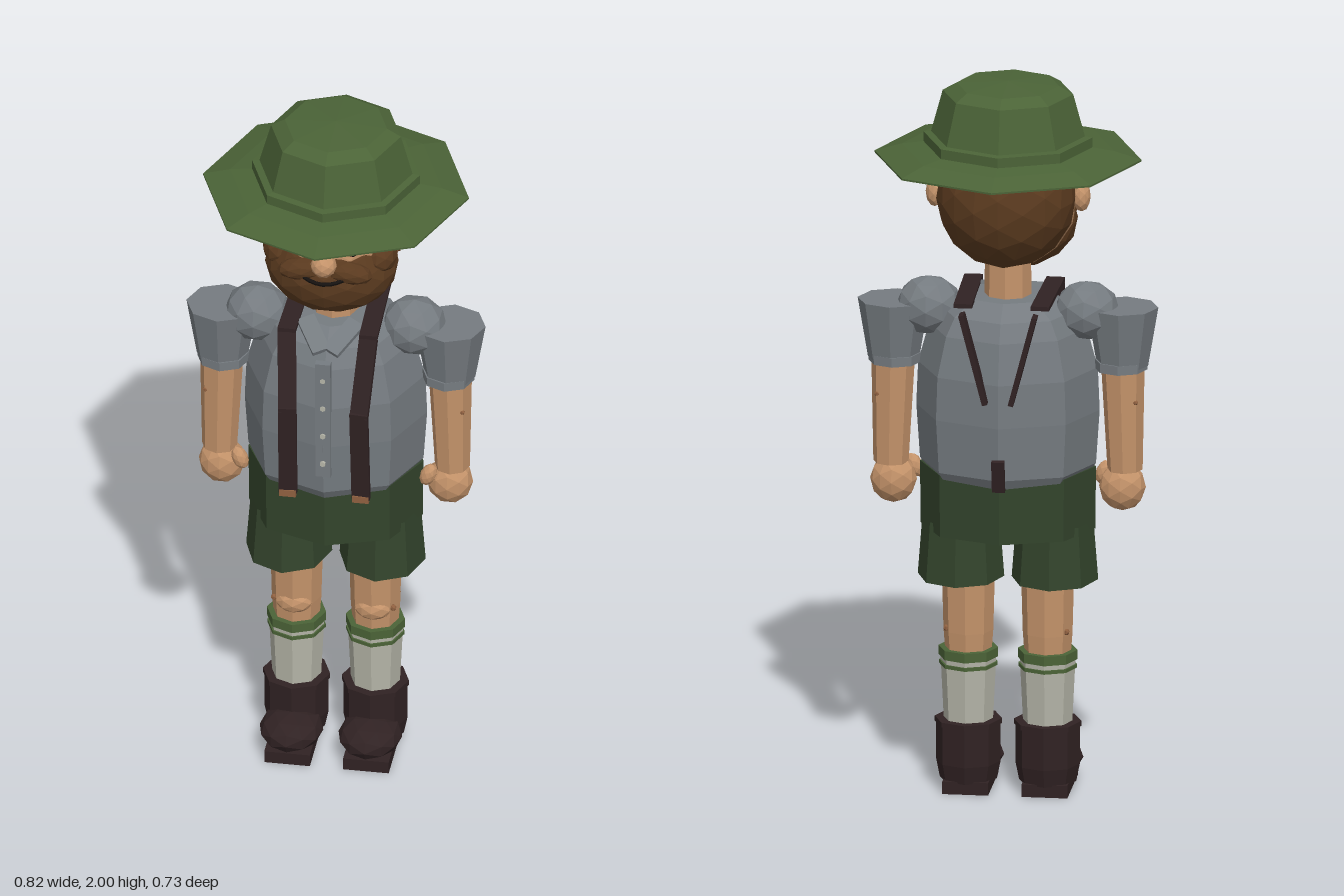
import * as THREE from 'three';

const paint = (name, color) => {
  const m = new THREE.MeshStandardMaterial({ color, flatShading: true });
  m.name = name;
  return m;
};

export function createModel() {
  const model = new THREE.Group();
  model.name = 'hiker';
  const hatGreen = paint('hat green', 0x4b6337);
  const darkGreen = paint('shorts green', 0x33442c);
  const grey = paint('shirt grey', 0x757b80);
  const skin = paint('skin', 0xc4936a);
  const tan = paint('dark skin', 0x8f6040);
  const brown = paint('hair brown', 0x5a3a1f);
  const leather = paint('dark leather', 0x302223);
  const wool = paint('sock wool', 0xb5b5a8);
  const black = paint('eye black', 0x15110f);
  const white = paint('white', 0xf2efe8);

  const add = (name, geo, mat, x = 0, y = 0, z = 0) => {
    const m = new THREE.Mesh(geo, mat);
    m.name = name;
    m.position.set(x, y, z);
    model.add(m);
    return m;
  };
  const box = (name, mat, w, h, d, x, y, z) => add(name, new THREE.BoxGeometry(w, h, d), mat, x, y, z);
  // Faceted ellipsoid
  const blob = (name, mat, x, y, z, rx, ry, rz, detail = 1) => {
    const m = add(name, new THREE.IcosahedronGeometry(1, detail), mat, x, y, z);
    m.scale.set(rx, ry, rz);
    return m;
  };
  // Eight-sided turned part from [radius, height] pairs, bottom to top
  const turned = (name, mat, pts, zScale = 1, x = 0, z = 0) => {
    const m = add(name, new THREE.LatheGeometry(pts.map(p => new THREE.Vector2(...p)), 8), mat, x, 0, z);
    m.scale.z = zScale;
    return m;
  };
  // Flat band running from a to b, with its width along x
  const strap = (name, mat, a, b, width, thick) => {
    const p = new THREE.Vector3(...a), q = new THREE.Vector3(...b);
    const m = add(name, new THREE.BoxGeometry(width, thick, p.distanceTo(q)), mat);
    m.position.copy(p).add(q).multiplyScalar(0.5);
    m.lookAt(q);
    return m;
  };

  // Hat
  turned('hatBrim', hatGreen, [[0, 1.8], [0.29, 1.795], [0.364, 1.785], [0.364, 1.79], [0.29, 1.812], [0.2, 1.825]]);
  turned('hatBand', hatGreen, [[0.23, 1.815], [0.23, 1.848], [0.2, 1.852]]);
  turned('hatCrown', hatGreen, [[0.213, 1.82], [0.21, 1.85], [0.178, 1.968], [0.14, 1.99], [0, 2]]);

  // Head and hair
  turned('neck', skin, [[0.065, 1.38], [0.062, 1.54]]);
  blob('head', skin, 0, 1.67, 0, 0.188, 0.19, 0.192, 2);
  blob('hair', brown, 0, 1.685, -0.04, 0.19, 0.195, 0.192, 2);
  blob('beard', brown, 0, 1.594, 0.07, 0.182, 0.137, 0.15, 2);
  blob('nose', skin, 0, 1.668, 0.207, 0.036, 0.036, 0.036);
  const smile = new THREE.QuadraticBezierCurve3(
    new THREE.Vector3(-0.07, 1.632, 0.2), new THREE.Vector3(0, 1.6, 0.25), new THREE.Vector3(0.07, 1.632, 0.2));
  add('mouth', new THREE.TubeGeometry(smile, 8, 0.006, 5), black);

  // Shirt
  turned('shirt', grey, [[0, 0.9], [0.22, 0.9], [0.24, 0.93], [0.25, 1.08], [0.245, 1.2],
    [0.215, 1.31], [0.185, 1.36], [0.12, 1.4], [0, 1.402]], 0.88);
  strap('placket', grey, [0, 0.985, 0.207], [0, 1.355, 0.216], 0.042, 0.02);
  for (let i = 0; i < 4; i++) {
    const b = add('button', new THREE.CylinderGeometry(0.008, 0.008, 0.008, 6), wool, 0, 1.03 + i * 0.09, 0.222);
    b.rotation.x = Math.PI / 2;
  }
  for (const s of [1, -1]) {
    const c = strap('collar', grey, [s * 0.012, 1.36, 0.17], [s * 0.07, 1.405, 0.08], 0.05, 0.014);
    c.rotation.z += s * 0.2;
  }

  // Shorts
  turned('shortsWaist', darkGreen, [[0, 0.745], [0.238, 0.745], [0.24, 0.92], [0, 0.925]], 0.81);
  // Centre back strap, just showing above the waist
  strap('backStrapEnd', leather, [0, 0.9, -0.204], [0, 0.99, -0.222], 0.035, 0.014);

  for (const s of [1, -1]) {
    // Face
    blob('eye', black, s * 0.07, 1.708, 0.169, 0.023, 0.031, 0.016);
    blob('eyeGlint', white, s * 0.07 + 0.006, 1.72, 0.184, 0.006, 0.007, 0.004, 0);
    box('eyebrow', brown, 0.062, 0.02, 0.025, s * 0.075, 1.755, 0.163).rotation.z = s * 0.05;
    blob('ear', skin, s * 0.2, 1.68, 0.005, 0.025, 0.043, 0.034);
    box('sideburn', brown, 0.03, 0.085, 0.065, s * 0.172, 1.682, 0.032);
    blob('moustache', brown, s * 0.062, 1.637, 0.184, 0.07, 0.032, 0.035).rotation.z = -s * 0.15;
    blob('whiskers', brown, s * 0.135, 1.645, 0.095, 0.05, 0.052, 0.06);

    // Braces
    strap('frontBraceLower', leather, [s * 0.1, 0.91, 0.192], [s * 0.098, 1.2, 0.218], 0.05, 0.014);
    strap('frontBraceUpper', leather, [s * 0.098, 1.185, 0.216], [s * 0.112, 1.395, 0.14], 0.05, 0.014);
    strap('shoulderBrace', leather, [s * 0.112, 1.402, 0.145], [s * 0.105, 1.402, -0.145], 0.05, 0.012);
    strap('backBrace', leather, [s * 0.1, 1.4, -0.212], [s * 0.035, 1.15, -0.212], 0.042, 0.014);
    box('braceClip', tan, 0.045, 0.02, 0.014, s * 0.1, 0.91, 0.196);

    // Sleeve and arm
    blob('shoulder', grey, s * 0.215, 1.36, 0, 0.09, 0.082, 0.085);
    const sleeve = add('sleeve', new THREE.CylinderGeometry(0.098, 0.07, 0.165, 8), grey, s * 0.312, 1.292, 0);
    sleeve.scale.z = 0.95;
    add('cuff', new THREE.CylinderGeometry(0.072, 0.072, 0.026, 8), grey, s * 0.308, 1.212, 0);
    const arm = add('arm', new THREE.CylinderGeometry(0.06, 0.048, 0.31, 8), skin, s * 0.316, 1.07, 0);
    arm.rotation.z = s * 0.02;
    blob('hand', skin, s * 0.312, 0.867, 0, 0.064, 0.068, 0.054);
    blob('thumb', skin, s * 0.258, 0.897, 0.03, 0.022, 0.035, 0.022).rotation.z = -s * 0.4;
    for (const z of [-0.038, 0.038]) blob('armFreckle', tan, s * 0.352, 1.115, z, 0.008, 0.008, 0.008, 0);

    // Leg and sock
    const x = s * 0.108;
    turned('shortsLeg', darkGreen, [[0, 0.605], [0.118, 0.602], [0.105, 0.77]], 1.13, s * 0.128);
    turned('leg', skin, [[0.062, 0.37], [0.068, 0.45], [0.073, 0.64]], 1, x);
    blob('knee', skin, x, 0.455, 0.03, 0.055, 0.04, 0.045);
    for (const z of [-0.035, 0.04]) blob('legFreckle', tan, x + s * 0.055, 0.46, z, 0.01, 0.01, 0.01, 0);
    turned('sock', wool, [[0.066, 0.17], [0.077, 0.395], [0, 0.398]], 1, x);
    turned('sockTop', hatGreen, [[0.076, 0.374], [0.081, 0.374], [0.081, 0.4], [0.06, 0.4]], 1, x);
    turned('sockStripe', hatGreen, [[0.075, 0.35], [0.08, 0.35], [0.08, 0.36], [0.075, 0.36]], 1, x);

    // Boot
    turned('bootShaft', leather, [[0, 0.025], [0.078, 0.03], [0.088, 0.08], [0.088, 0.185],
      [0.092, 0.186], [0.092, 0.2], [0.06, 0.2]], 1, x);
    blob('bootToe', leather, x, 0.073, 0.085, 0.087, 0.05, 0.103);
    box('bootSole', leather, 0.125, 0.035, 0.23, x, 0.0175, 0.045);
  }
  return model;
}
